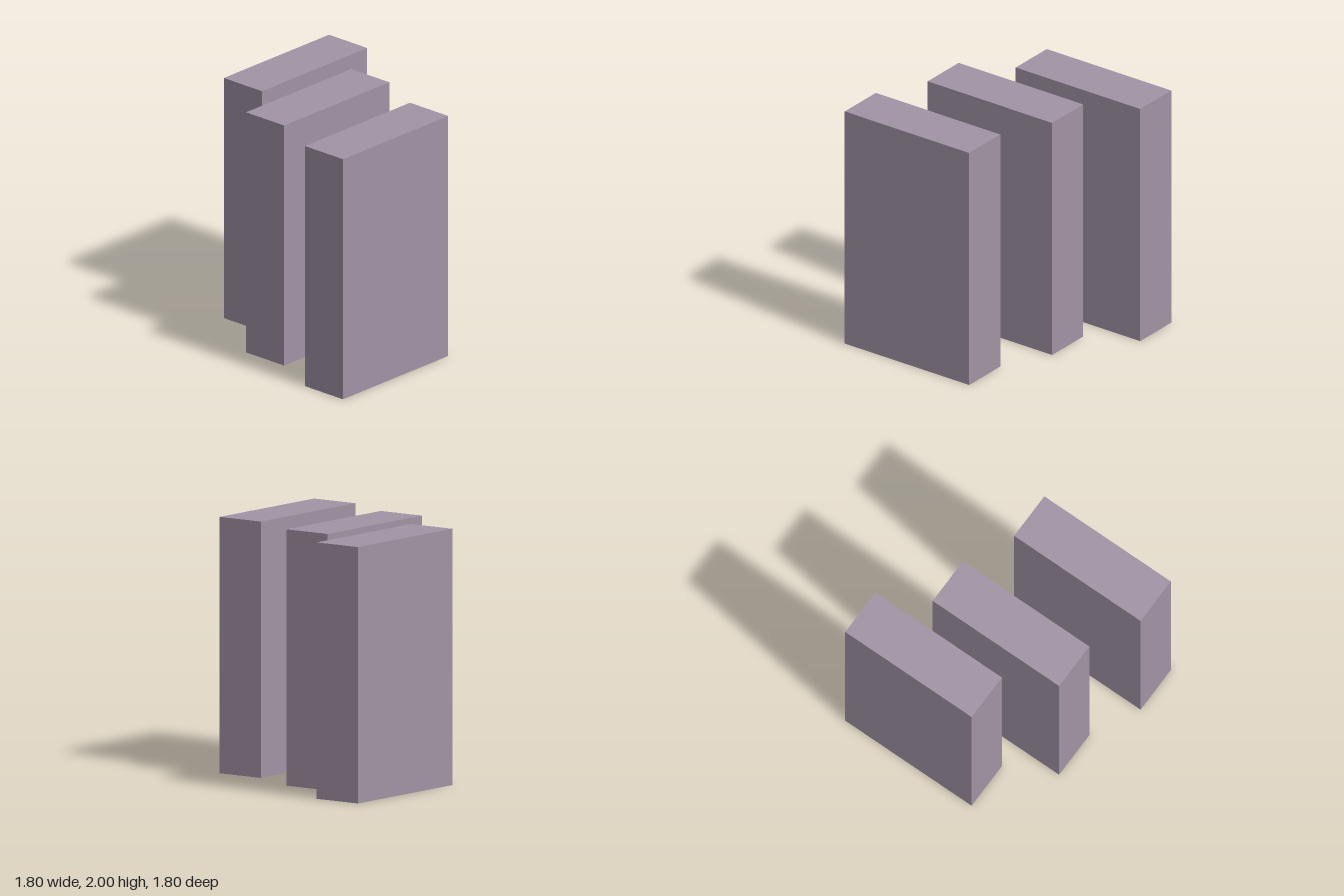
import * as THREE from 'three';

export function createModel() {
  const group = new THREE.Group();
  group.name = 'staggeredSlabs';
  const material = new THREE.MeshStandardMaterial({ color: 0xa294a6 });
  const geometry = new THREE.BoxGeometry(0.4, 2, 1.2);

  // Three identical upright slabs, each stepped further forward
  const slabs = [
    ['rightSlab', -0.7, -0.3],
    ['middleSlab', -0.1, 0.1],
    ['leftSlab', 0.7, 0.3],
  ];
  for (const [name, x, z] of slabs) {
    const slab = new THREE.Mesh(geometry, material);
    slab.name = name;
    slab.position.set(x, 1, z);
    group.add(slab);
  }
  return group;
}
